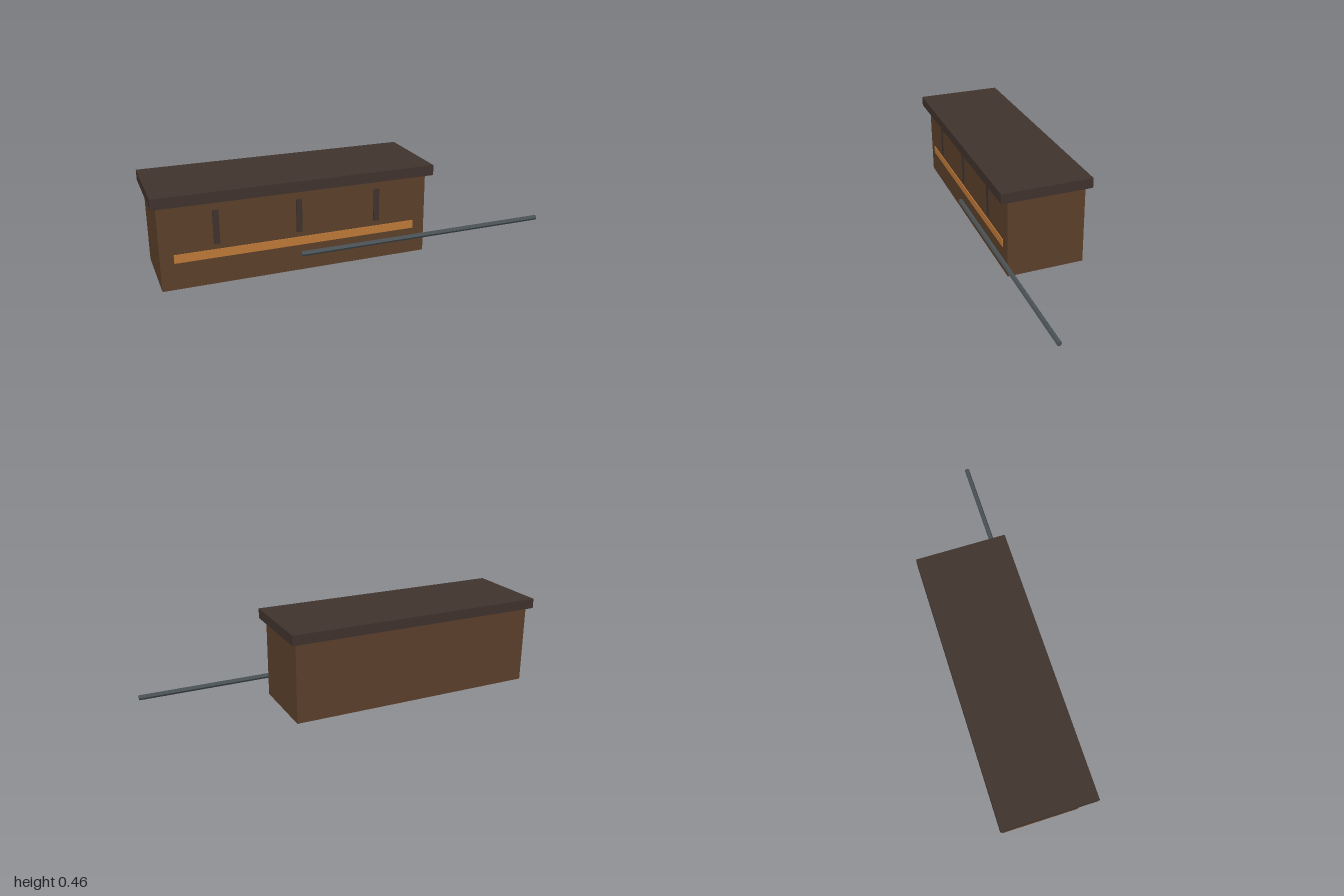
import * as THREE from 'three';

const mat = (name, color) => {
  const m = new THREE.MeshStandardMaterial({ color });
  m.name = name;
  return m;
};

export function createModel() {
  const group = new THREE.Group();
  const wood = mat('brown wood', 0x5c402b);
  const darkWood = mat('dark wood', 0x40332d);
  const amber = mat('amber', 0xc07a38);
  const steel = mat('grey steel', 0x4a5256);

  // Box given by its minimum and maximum corners
  const box = (name, material, [x0, y0, z0], [x1, y1, z1]) => {
    const mesh = new THREE.Mesh(new THREE.BoxGeometry(x1 - x0, y1 - y0, z1 - z0), material);
    mesh.position.set((x0 + x1) / 2, (y0 + y1) / 2, (z0 + z1) / 2);
    mesh.name = name;
    group.add(mesh);
  };

  // Chest body and overhanging lid
  box('body', wood, [-0.975, 0, -0.203], [0.34, 0.41, 0.191]);
  box('lid', darkWood, [-1, 0.41, -0.23], [0.365, 0.461, 0.23]);

  // Front trim: long strip and three upright slats
  box('frontStrip', amber, [-0.912, 0.131, 0.19], [0.278, 0.172, 0.195]);
  [-0.713, -0.318, 0.077].forEach((x, i) =>
    box(`slat${i + 1}`, darkWood, [x - 0.014, 0.199, 0.19], [x + 0.014, 0.363, 0.198]));

  // Six-sided rod lying along the front
  const rodGeometry = new THREE.CylinderGeometry(0.0125, 0.0125, 1.318, 6).toNonIndexed();
  rodGeometry.computeVertexNormals();
  const rod = new THREE.Mesh(rodGeometry, steel);
  rod.rotation.z = Math.PI / 2;
  rod.position.set(0.341, 0.093, 0.218);
  rod.name = 'rod';
  group.add(rod);

  return group;
}
